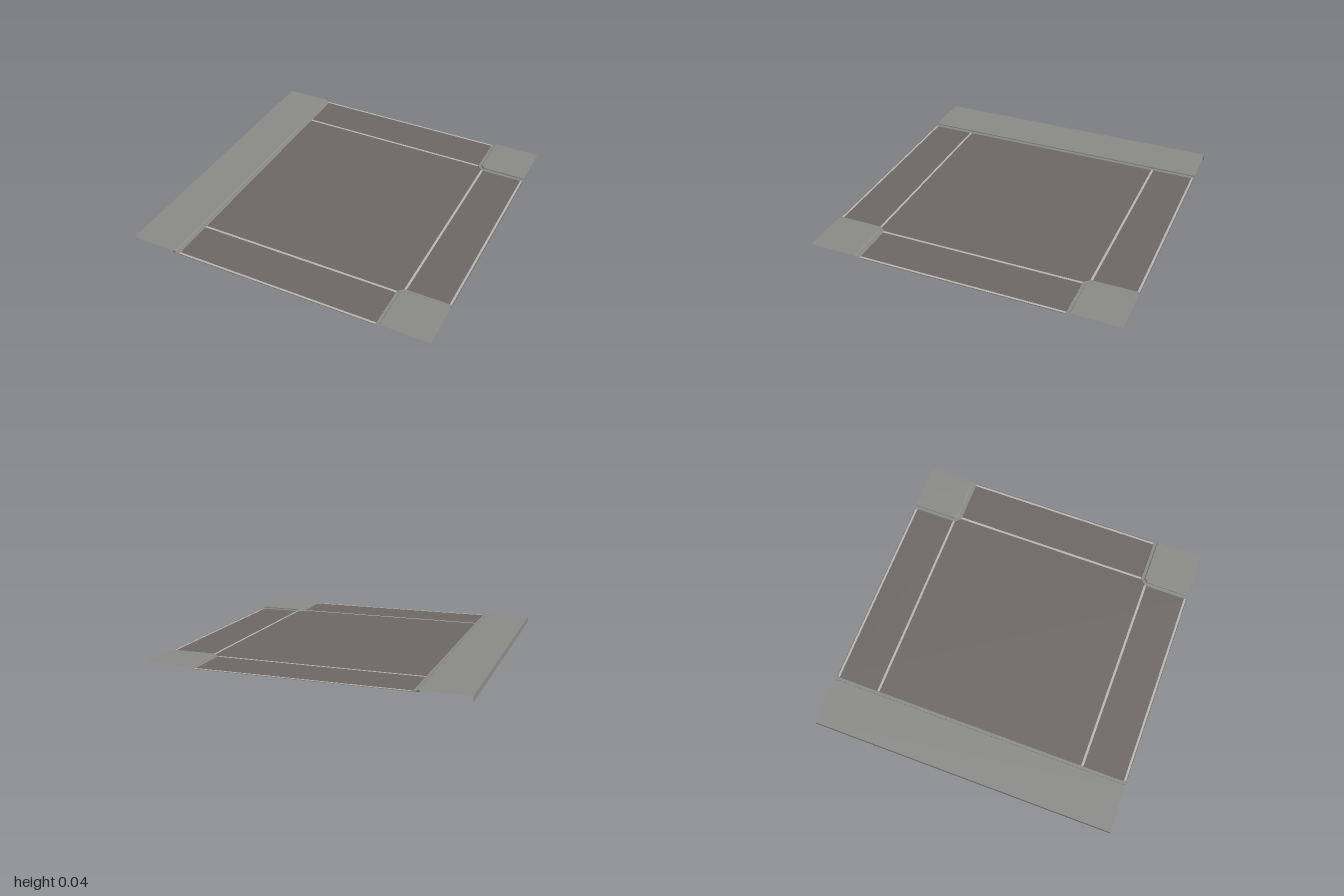
import * as THREE from 'three';

const ROAD_Y = 0.028;
const TOP_Y = 0.04;
// Kerb cross-section: [distance from the road edge, height]
const KERB = [[0, 0.028], [0.002, 0.031], [0.022, 0.031], [0.024, 0.038], [0.028, TOP_Y], [0.043, TOP_Y]];
const KERB_WIDTH = 0.043;
const EDGE = 0.665; // where road meets kerb

// Kerb line of the long pavement, moved d away from the road
const longPath = d => [[-EDGE - d, -1], [-EDGE - d, 1]];

// Chamfered kerb line of a corner block; side is +1 (front) or -1 (back)
function cornerPath(side) {
  return d => {
    const near = EDGE - 0.002 + d, cut = 0.7 + d * (Math.SQRT2 - 1);
    const points = [[1, near], [cut, near], [near, cut], [near, 1]].map(([x, z]) => [x, z * side]);
    return side > 0 ? points : points.reverse();
  };
}

// Horizontal sheet from an outline of [x, z] points
function sheet(outline, y) {
  const shape = new THREE.Shape(outline.map(([x, z]) => new THREE.Vector2(x, -z)));
  return new THREE.ShapeGeometry(shape).rotateX(-Math.PI / 2).translate(0, y, 0);
}

// Sweeps the kerb section along a path, with faceted edges
function kerbStrip(path) {
  const rows = KERB.map(([d, y]) => path(d).map(([x, z]) => [x, y, z]));
  const positions = [];
  for (let i = 0; i < rows.length - 1; i++) {
    for (let k = 0; k < rows[i].length - 1; k++) {
      const a = rows[i][k], b = rows[i][k + 1], c = rows[i + 1][k], d = rows[i + 1][k + 1];
      positions.push(...a, ...c, ...b, ...b, ...c, ...d);
    }
  }
  const geometry = new THREE.BufferGeometry();
  geometry.setAttribute('position', new THREE.Float32BufferAttribute(positions, 3));
  // The sweep must face upwards
  geometry.computeVertexNormals();
  const normal = geometry.getAttribute('normal');
  let up = 0;
  for (let i = 0; i < normal.count; i++) up += normal.getY(i);
  if (up < 0) {
    for (let i = 0; i < positions.length; i += 9) {
      for (let j = 0; j < 3; j++) {
        [positions[i + 3 + j], positions[i + 6 + j]] = [positions[i + 6 + j], positions[i + 3 + j]];
      }
    }
    geometry.setAttribute('position', new THREE.Float32BufferAttribute(positions, 3));
    geometry.computeVertexNormals();
  }
  return geometry;
}

export function createModel() {
  const model = new THREE.Group();
  model.name = 'roadJunctionTile';

  const material = (name, color) => {
    const m = new THREE.MeshStandardMaterial({ color, side: THREE.DoubleSide });
    m.name = name;
    return m;
  };
  const concrete = material('concrete', 0x8c8c89);
  const asphalt = material('asphalt', 0x6f6966);
  const paint = material('roadPaint', 0xbab7b3);

  const add = (name, geometry, mat, parent = model) => {
    const mesh = new THREE.Mesh(geometry, mat);
    mesh.name = name;
    parent.add(mesh);
    return mesh;
  };

  // Road surface, cut away under the two corner blocks
  const front = cornerPath(1)(0), back = cornerPath(-1)(0);
  add('roadSurface', sheet([[-EDGE, 1], [-EDGE, -1], ...back, ...front], ROAD_Y), asphalt);

  // Painted lines: [name, x0, x1, z0, z1]
  const lines = [
    ['rightEdgeLine', 0.981, 0.995, -EDGE, EDGE],
    ['rightStopLine', 0.698, 0.713, -EDGE, EDGE],
  ];
  for (const [side, label] of [[1, 'front'], [-1, 'back']]) {
    lines.push([label + 'StopLine', -EDGE, EDGE, side * 0.705 - 0.0075, side * 0.705 + 0.0075]);
    lines.push([label + 'EdgeLine', -EDGE, EDGE, side * 0.989 - 0.007, side * 0.989 + 0.007]);
  }
  for (const [name, x0, x1, z0, z1] of lines) {
    add(name, sheet([[x0, z0], [x0, z1], [x1, z1], [x1, z0]], ROAD_Y + 0.0015), paint);
  }

  // Long pavement with kerb and outer skirt
  const pavement = new THREE.Group();
  pavement.name = 'longPavement';
  model.add(pavement);
  add('longPavementTop', sheet([[-1, -1], [-1, 1], ...longPath(KERB_WIDTH).reverse()], TOP_Y), concrete, pavement);
  add('longKerb', kerbStrip(longPath), concrete, pavement);
  add('outerSkirt', new THREE.PlaneGeometry(2, TOP_Y).rotateY(-Math.PI / 2).translate(-1, TOP_Y / 2, 0), concrete, pavement);
  // Kerb end caps
  for (const z of [-1, 1]) {
    const cap = new THREE.Shape([...KERB.map(([d, y]) => new THREE.Vector2(-EDGE - d, y)), new THREE.Vector2(-EDGE - KERB_WIDTH, 0.031)]);
    const geometry = new THREE.ShapeGeometry(cap);
    if (z < 0) geometry.index.array.reverse();
    add('kerbEnd', geometry.translate(0, 0, z), concrete, pavement);
  }

  // Corner blocks
  for (const [side, label] of [[1, 'front'], [-1, 'back']]) {
    const path = cornerPath(side);
    const corner = new THREE.Group();
    corner.name = label + 'Corner';
    model.add(corner);
    add(label + 'CornerTop', sheet([...path(KERB_WIDTH), [1, side]], TOP_Y), concrete, corner);
    add(label + 'CornerKerb', kerbStrip(path), concrete, corner);
  }
  return model;
}
